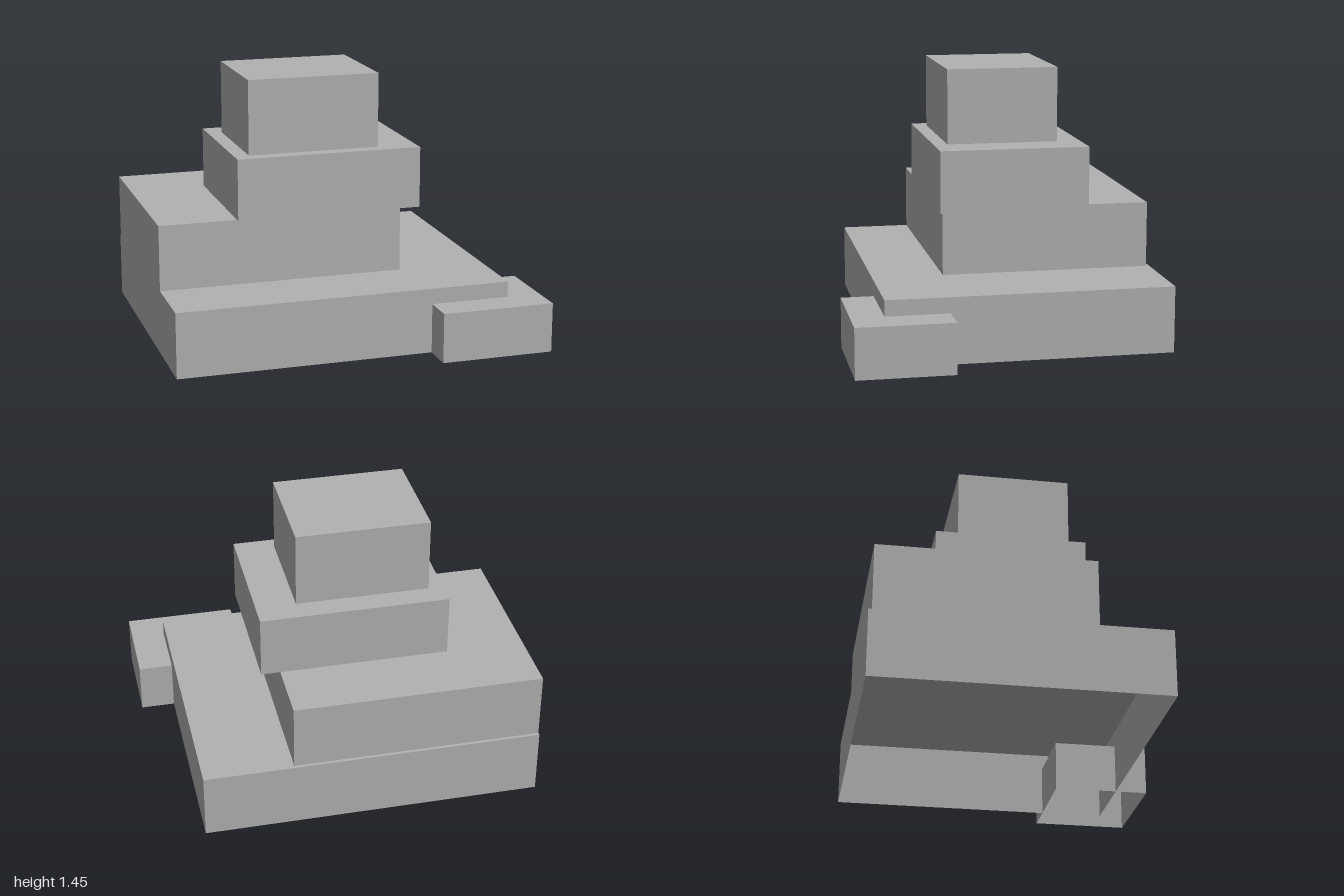
import * as THREE from 'three';

const concrete = new THREE.MeshStandardMaterial({ color: 0xb2b2b2, side: THREE.DoubleSide });
concrete.name = 'concreteGrey';

// Box with no underside, given by its extents on each axis
function openBlock(name, [x0, x1], [y0, y1], [z0, z1]) {
  const geometry = new THREE.BoxGeometry(x1 - x0, y1 - y0, z1 - z0);
  const index = Array.from(geometry.index.array);
  index.splice(18, 6); // drop the bottom face
  geometry.setIndex(index);
  geometry.clearGroups();
  const mesh = new THREE.Mesh(geometry, concrete);
  mesh.name = name;
  mesh.position.set((x0 + x1) / 2, (y0 + y1) / 2, (z0 + z1) / 2);
  return mesh;
}

export function createModel() {
  const building = new THREE.Group();
  building.name = 'steppedBuilding';
  building.add(
    // Stacked tiers, from the ground up
    openBlock('baseTier', [-1, 0.815], [0, 0.355], [-0.85, 0.675]),
    openBlock('lowerTier', [-1, 0.333], [0.355, 0.71], [-0.832, 0.295]),
    openBlock('upperTier', [-0.578, 0.435], [0.71, 1.042], [-0.48, 0.322]),
    openBlock('topTier', [-0.498, 0.22], [1.042, 1.445], [-0.353, 0.247]),
    // Low annex cutting into the front corner of the base
    openBlock('cornerAnnex', [0.385, 1], [0, 0.27], [0.335, 0.85]),
  );
  return building;
}
